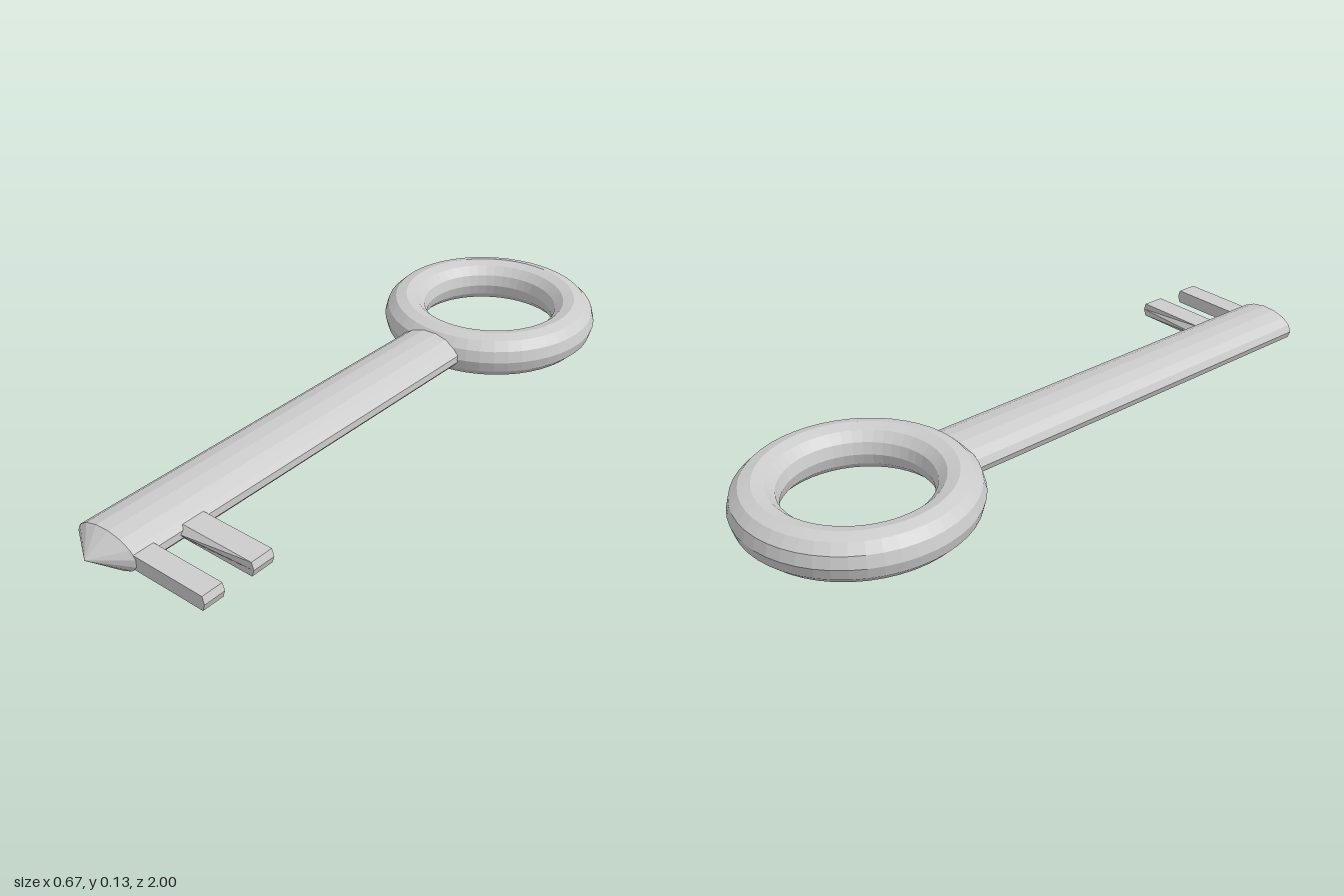
import * as THREE from 'three';

const MID = 0.067; // height of the key's middle plane
const material = new THREE.MeshStandardMaterial({ color: 0xcccccc, flatShading: true });

function addPart(group, name, geometry, x, y, z) {
  geometry.computeVertexNormals();
  const mesh = new THREE.Mesh(geometry, material);
  mesh.name = name;
  mesh.position.set(x, y, z);
  group.add(mesh);
}

// Flattened 15-sided round bar lying along z
function bar(frontRadius, backRadius, length, openEnded) {
  const g = new THREE.CylinderGeometry(frontRadius, backRadius, length, 15, 1, openEnded, -Math.PI / 2);
  g.rotateX(Math.PI / 2);
  g.scale(1, 0.5, 1);
  return g;
}

// Tooth with a wedge tip; its side ridges widen by `flare` towards the shaft
function toothGeometry(length, width, flare) {
  const g = new THREE.BoxGeometry(length, 0.042, width, 1, 2, 1);
  const p = g.attributes.position;
  for (let i = 0; i < p.count; i++) {
    if (Math.abs(p.getY(i)) > 0.001) continue;
    if (p.getX(i) > 0) p.setX(i, p.getX(i) + 0.007);
    else p.setZ(i, p.getZ(i) + Math.sign(p.getZ(i)) * flare);
  }
  return g;
}

export function createModel() {
  const key = new THREE.Group();
  key.name = 'key';

  // Ring handle
  const ring = new THREE.TorusGeometry(0.266, MID, 12, 48);
  ring.rotateX(Math.PI / 2);
  addPart(key, 'ringHandle', ring, 0, MID, -0.667);

  // Shaft running into the ring, with a pointed tip
  addPart(key, 'shaft', bar(0.106, 0.106, 1.345), 0, MID, 0.2575);
  addPart(key, 'shaftTip', bar(0, 0.106, 0.07, true), 0, MID, 0.965);

  // Two teeth on the left side
  const length = 0.245;
  addPart(key, 'frontTooth', toothGeometry(length, 0.065, 0), 0.2035, MID, 0.8975);
  addPart(key, 'rearTooth', toothGeometry(length, 0.07, 0.018), 0.2035, MID, 0.735);

  return key;
}
